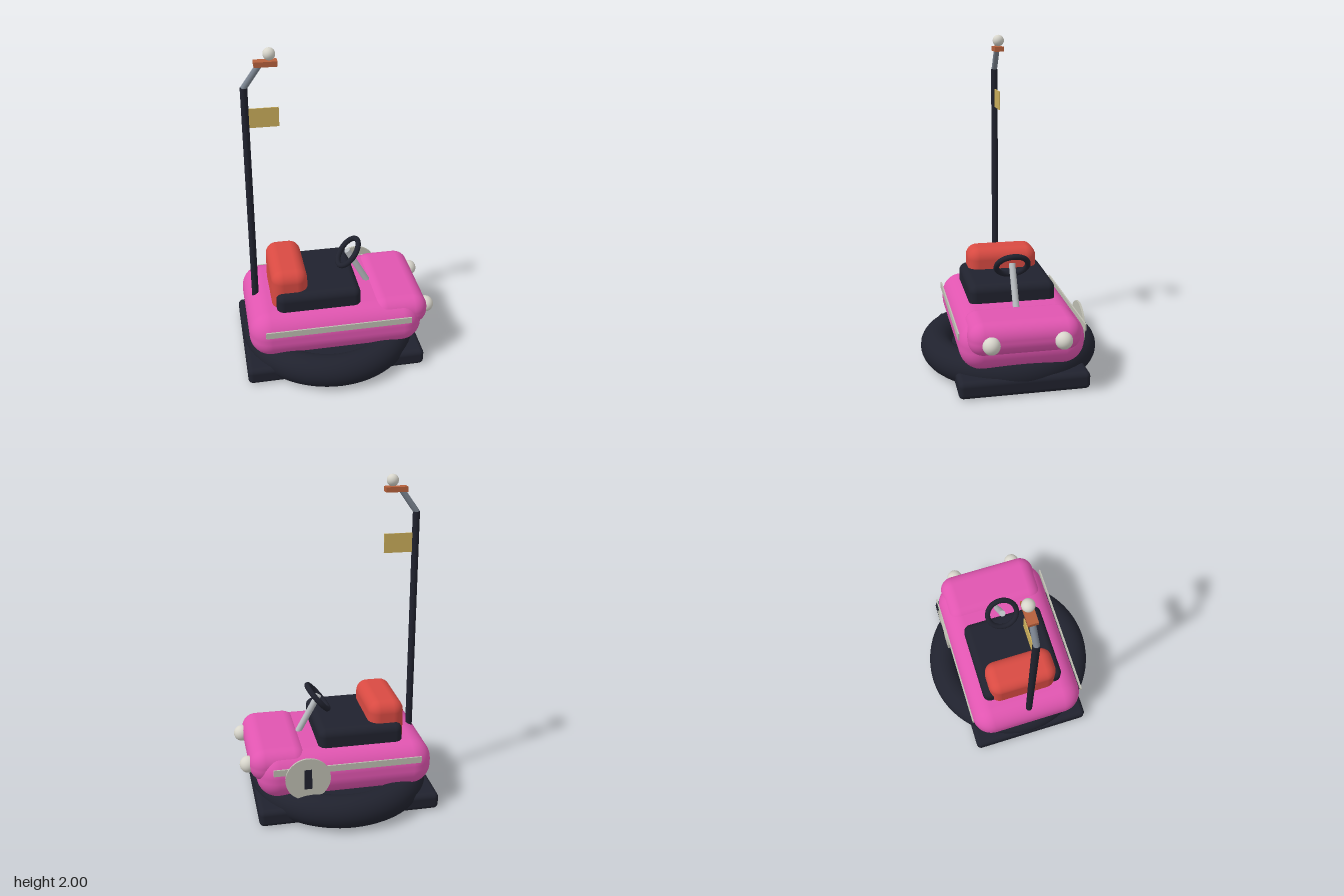
import * as THREE from 'three';
import { RoundedBoxGeometry } from 'three/addons/geometries/RoundedBoxGeometry.js';

const paint = (name, color) => {
  const m = new THREE.MeshStandardMaterial({ color });
  m.name = name;
  return m;
};

export function createModel() {
  const car = new THREE.Group();
  car.name = 'bumperCar';

  const pink = paint('pink paint', 0xe055b0);
  const dark = paint('dark rubber', 0x20222e);
  const red = paint('red upholstery', 0xd84a42);
  const silver = paint('silver metal', 0xb9bdc1);
  const steel = paint('steel arm', 0x7b8490);
  const trim = paint('trim', 0xbcbcb0);
  const cream = paint('cream lamp', 0xd8d6cc);
  const copper = paint('copper', 0xb5603c);
  const gold = paint('flag gold', 0xc8ac5a);

  const add = (name, geometry, material, x = 0, y = 0, z = 0) => {
    const mesh = new THREE.Mesh(geometry, material);
    mesh.name = name;
    mesh.position.set(x, y, z);
    car.add(mesh);
    return mesh;
  };

  // Rounded box given by its limits on each axis, symmetric in z
  const block = (name, material, x0, x1, y0, y1, halfZ, radius) =>
    add(name, new RoundedBoxGeometry(x1 - x0, y1 - y0, halfZ * 2, 6, radius), material,
      (x0 + x1) / 2, (y0 + y1) / 2, 0);

  // Round bar between two points in the z = 0 plane
  const bar = (name, material, x0, y0, x1, y1, radius, sides = 16) => {
    const dx = x1 - x0, dy = y1 - y0;
    const mesh = add(name, new THREE.CylinderGeometry(radius, radius, Math.hypot(dx, dy), sides),
      material, (x0 + x1) / 2, (y0 + y1) / 2, 0);
    mesh.rotation.z = Math.atan2(-dx, dy);
    return mesh;
  };

  // Base plate and rubber bumper ring
  block('basePlate', dark, -0.6, 0.508, 0, 0.105, 0.388, 0.03);
  add('bumperRing', new THREE.TorusGeometry(0.455, 0.098, 24, 72), dark, -0.045, 0.098, 0)
    .rotation.x = Math.PI / 2;

  // Body and hood
  block('body', pink, -0.57, 0.505, 0.14, 0.43, 0.37, 0.13);
  block('hood', pink, 0.19, 0.543, 0.25, 0.448, 0.33, 0.09);

  // Seat and backrest
  block('seat', dark, -0.393, 0.125, 0.34, 0.538, 0.265, 0.045);
  block('backrest', red, -0.415, -0.195, 0.34, 0.665, 0.222, 0.07);

  // Steering column and wheel
  bar('steeringColumn', silver, 0.22, 0.41, 0.083, 0.66, 0.02);
  const wheel = add('steeringWheel', new THREE.TorusGeometry(0.097, 0.017, 12, 40), dark, 0.088, 0.648, 0);
  wheel.rotation.order = 'ZXY';
  wheel.rotation.set(Math.PI / 2, 0, THREE.MathUtils.degToRad(50));

  // Headlights and side trim on both sides
  for (const side of [1, -1]) {
    add('headlight', new THREE.SphereGeometry(0.051, 28, 18), cream, 0.548, 0.34, side * 0.208);
    add('sideTrim', new THREE.BoxGeometry(0.895, 0.04, 0.009), trim, -0.032, 0.351, side * 0.374);
  }

  // Round side plate with a plain dark marker
  add('sidePlate', new THREE.CylinderGeometry(0.135, 0.135, 0.012, 48), trim, 0.215, 0.3, -0.385)
    .rotation.x = Math.PI / 2;
  add('sideMarker', new THREE.BoxGeometry(0.045, 0.125, 0.008), dark, 0.215, 0.302, -0.392);

  // Power pole, arm, contact shoe and ball
  bar('pole', dark, -0.505, 0.34, -0.505, 1.78, 0.021);
  bar('poleArm', steel, -0.508, 1.775, -0.415, 1.905, 0.018);
  add('contactShoe', new THREE.BoxGeometry(0.13, 0.03, 0.055), copper, -0.38, 1.914, 0);
  add('contactBall', new THREE.SphereGeometry(0.035, 24, 16), cream, -0.358, 1.965, 0);

  // Flag
  add('flag', new THREE.BoxGeometry(0.172, 0.115, 0.006), gold, -0.401, 1.597, 0);

  return car;
}
